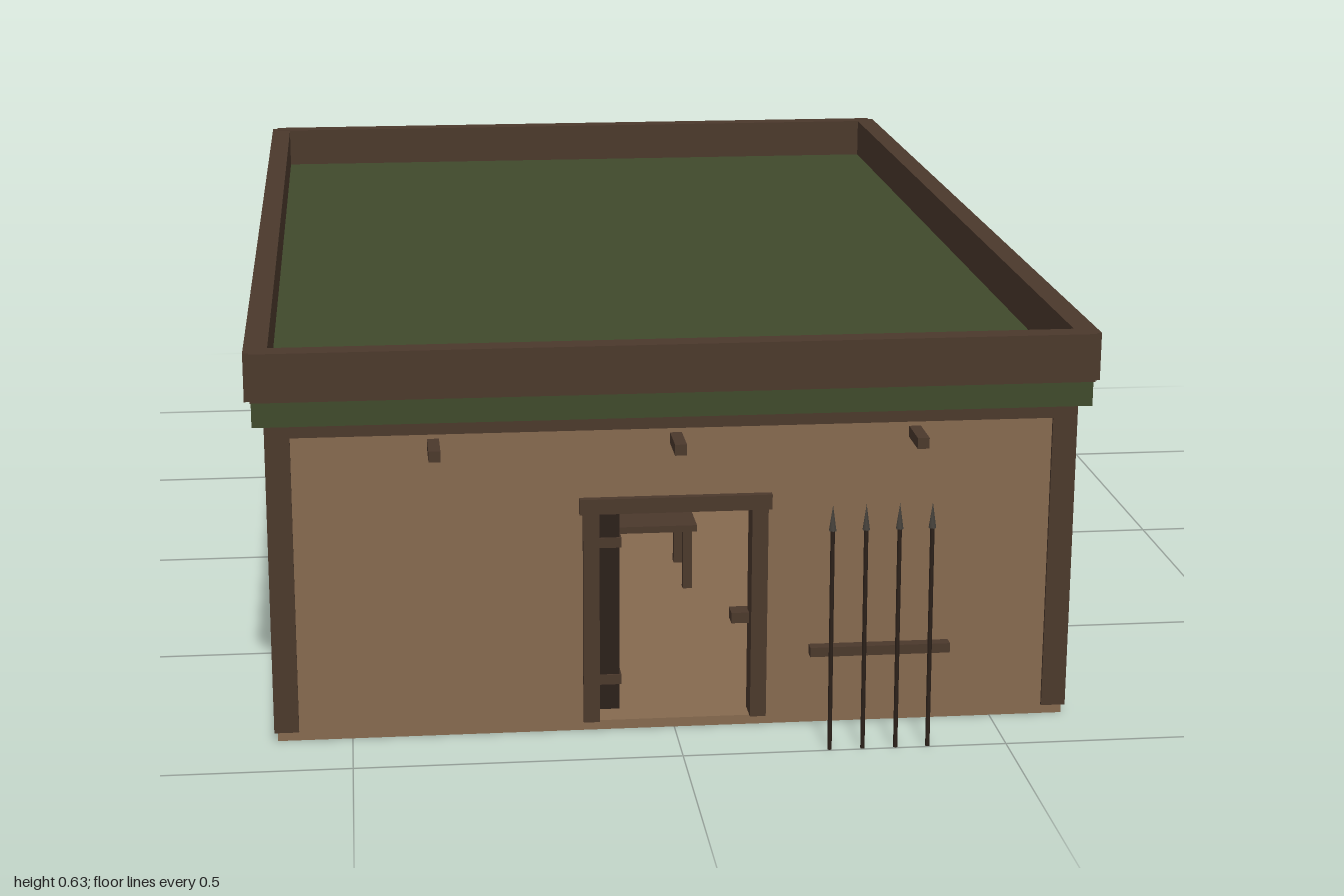
import * as THREE from 'three';

const mat = (name, color) => new THREE.MeshStandardMaterial({ name, color });

export function createModel() {
  const clay = mat('clay', 0x866a4f);
  const wood = mat('wood', 0x4b392c);
  const turf = mat('turf', 0x404a2c);
  const darkWood = mat('darkWood', 0x2c211a);
  const glass = mat('darkGlass', 0x232527);
  const iron = mat('iron', 0x45413b);

  const model = new THREE.Group();
  // box given by its minimum and maximum on each axis
  const box = (name, m, x0, x1, y0, y1, z0, z1, parent = model) => {
    const mesh = new THREE.Mesh(new THREE.BoxGeometry(x1 - x0, y1 - y0, z1 - z0), m);
    mesh.position.set((x0 + x1) / 2, (y0 + y1) / 2, (z0 + z1) / 2);
    mesh.name = name;
    parent.add(mesh);
    return mesh;
  };

  const W = 0.615, F = 0.883, B = -0.963, T = 0.03, H = 0.51;

  // floor and walls
  box('floor', clay, -W, W, 0, 0.015, B, F);
  box('backWall', clay, -W, W, 0.015, H, B, B + T);
  for (const s of [-1, 1]) {
    const x = s * (W - T / 2);
    box('sideWall', clay, x - T / 2, x + T / 2, 0.015, H, B + T, F - T);
  }

  // front wall with the doorway cut out
  const front = new THREE.Shape([
    [-W, 0.015], [-0.12, 0.015], [-0.12, 0.357], [0.12, 0.357],
    [0.12, 0.015], [W, 0.015], [W, H], [-W, H],
  ].map(([x, y]) => new THREE.Vector2(x, y)));
  const frontWall = new THREE.Mesh(new THREE.ExtrudeGeometry(front, { depth: T, bevelEnabled: false }), clay);
  frontWall.position.z = F - T;
  frontWall.name = 'frontWall';
  model.add(frontWall);

  // corner posts and the top beams between them
  for (const s of [-1, 1]) {
    const [x0, x1] = s > 0 ? [0.582, 0.62] : [-0.62, -0.582];
    box('cornerPost', wood, x0, x1, 0.015, H, 0.85, 0.888);
    box('cornerPost', wood, x0, x1, 0.015, H, -0.968, -0.93);
    box('sideBeam', wood, x0, x1, 0.487, H, -0.93, 0.85);
  }
  box('frontBeam', wood, -0.582, 0.582, 0.487, H, 0.85, 0.888);
  box('backBeam', wood, -0.582, 0.582, 0.487, H, -0.968, -0.93);

  // turf roof and its raised wooden rim
  box('turfRoof', turf, -0.637, 0.637, H, 0.552, -0.988, 0.907);
  box('frontRim', wood, -0.638, 0.638, 0.55, 0.625, 0.879, 0.915);
  box('backRim', wood, -0.638, 0.638, 0.55, 0.625, -1, -0.965);
  for (const s of [-1, 1]) {
    const x = s * 0.629;
    box('sideRim', wood, x - 0.018, x + 0.018, 0.55, 0.6245, -0.99, 0.906);
  }

  // projecting roof beam ends
  for (const x of [-0.368, 0, 0.368])
    box('beamEnd', wood, x - 0.009, x + 0.009, 0.462, 0.479, 0.85, 0.95);

  // door frame
  for (const x of [-0.13, 0.13])
    box('doorPost', wood, x - 0.0125, x + 0.0125, 0.016, 0.355, 0.85, 0.893);
  box('doorLintel', wood, -0.148, 0.148, 0.355, 0.379, 0.85, 0.895);

  // door swung inwards, with straps and a latch rest
  box('doorLeaf', darkWood, -0.118, -0.083, 0.02, 0.345, 0.62, 0.85);
  for (const y of [0.295, 0.07])
    box('doorStrap', wood, -0.119, -0.08, y - 0.008, y + 0.008, 0.64, 0.853);
  box('latchRest', wood, 0.09, 0.12, 0.163, 0.18, 0.84, 0.87);

  // bench inside
  box('benchTop', wood, -0.35, 0.107, 0.124, 0.136, 0.12, 0.3);
  for (const x of [-0.335, 0.092])
    for (const z of [0.14, 0.28])
      box('benchLeg', wood, x - 0.008, x + 0.008, 0.015, 0.124, z - 0.008, z + 0.008);

  // side windows: dark panes with a crossbar
  for (const s of [-1, 1])
    for (const z of [0.42, -0.505]) {
      const win = new THREE.Group();
      win.name = 'window';
      win.position.set(s * 0.618, 0.248, z);
      box('windowPane', glass, -0.004, 0.004, -0.061, 0.061, -0.056, 0.056, win);
      box('windowBar', wood, -0.005, 0.005, -0.061, 0.061, -0.003, 0.003, win);
      box('windowBar', wood, -0.005, 0.005, -0.003, 0.003, -0.056, 0.056, win);
      model.add(win);
    }

  // spear rack with four leaning spears
  box('rackRail', wood, 0.195, 0.41, 0.148, 0.163, 0.97, 0.988);
  for (const x of [0.226, 0.277, 0.328, 0.378]) {
    const spear = new THREE.Group();
    spear.name = 'spear';
    const shaft = new THREE.Mesh(new THREE.CylinderGeometry(0.0035, 0.0035, 0.35, 6), darkWood);
    shaft.position.y = 0.175;
    shaft.name = 'spearShaft';
    const tip = new THREE.Mesh(new THREE.ConeGeometry(0.006, 0.04, 6), iron);
    tip.position.y = 0.368;
    tip.name = 'spearTip';
    spear.add(shaft, tip);
    spear.position.set(x, 0, 0.996);
    spear.rotation.x = -0.035;
    model.add(spear);
  }
  return model;
}
